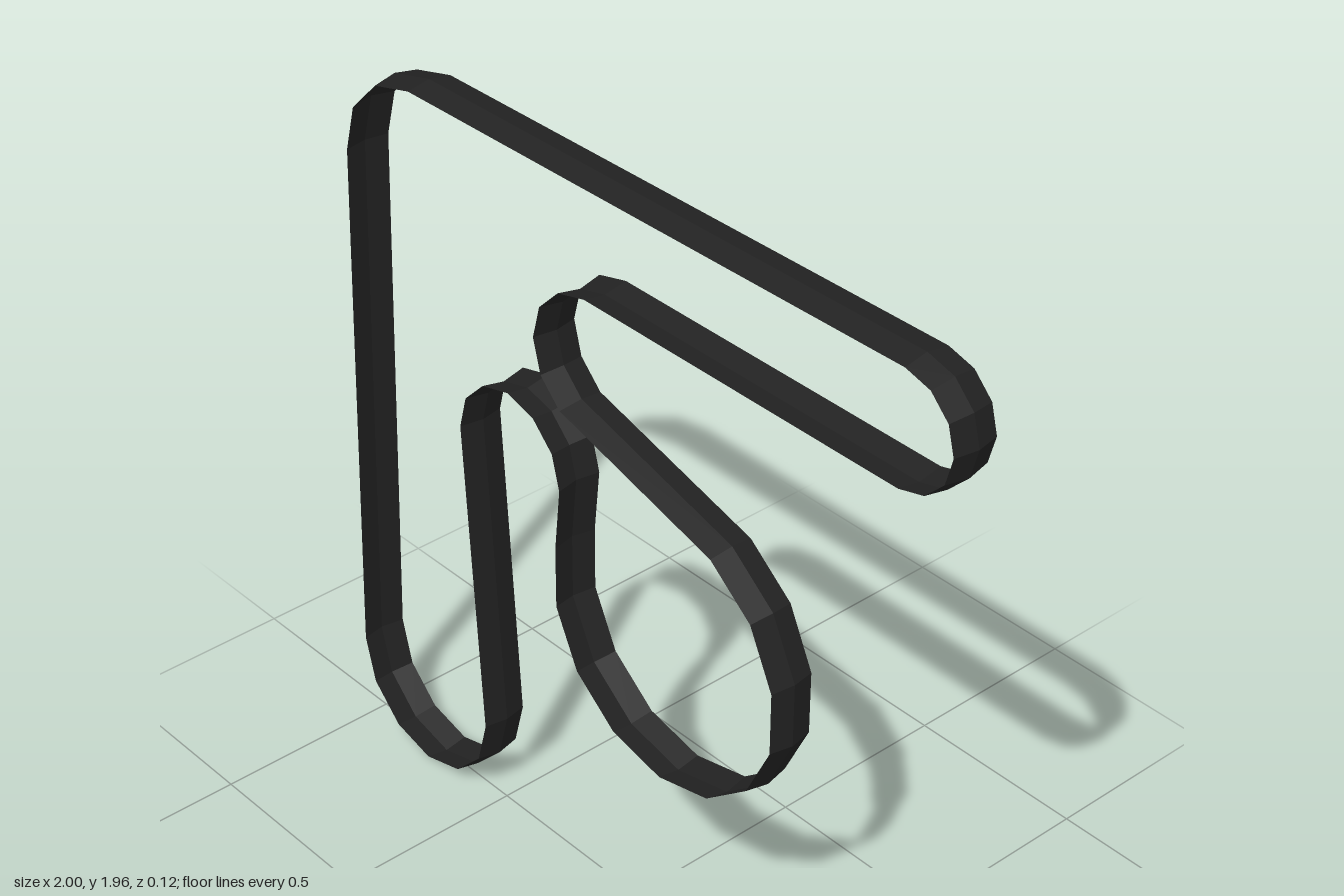
import * as THREE from 'three';

// Pulley wraps along the belt: centre x, centre y, radius, start and end angle (degrees), segments
const WRAPS = [
  [-0.745, 0.256, 0.25, 180, 360, 6],       // bottom pulley
  [-0.378, 1.12, 0.173, 180, 0, 6],         // lower idler, running on the outer face
  [0.146, 0.868, 0.378, 167.14, 424.29, 10], // large pulley
  [-0.105, 1.493, 0.17, 240, 90, 5],        // upper idler, running on the outer face
  [0.847, 1.808, 0.147, -90, 90, 6],        // right pulley
  [-0.7, 1.692, 0.25, 90, 180, 3],          // top left pulley
];

// Crowned cross-section: [z, outward offset]
const SECTION = [[0.06, -0.006], [0, 0.005], [-0.06, -0.006]];

function beltGeometry() {
  const positions = [];
  const index = [];
  for (const [cx, cy, r, start, end, steps] of WRAPS) {
    const side = Math.sign(end - start); // outward is towards the centre on idlers
    for (let i = 0; i <= steps; i++) {
      const a = THREE.MathUtils.degToRad(start + ((end - start) * i) / steps);
      for (const [z, out] of SECTION) {
        const radius = r + side * out;
        positions.push(cx + radius * Math.cos(a), cy + radius * Math.sin(a), z);
      }
    }
  }
  // Join neighbouring cross-sections, closing the loop
  const n = SECTION.length;
  const rings = positions.length / 3 / n;
  for (let i = 0; i < rings; i++) {
    const p = i * n;
    const q = ((i + 1) % rings) * n;
    for (let j = 0; j < n - 1; j++) {
      index.push(p + j, p + j + 1, q + j, q + j, p + j + 1, q + j + 1);
    }
  }
  const geometry = new THREE.BufferGeometry();
  geometry.setAttribute('position', new THREE.Float32BufferAttribute(positions, 3));
  geometry.setIndex(index);
  geometry.computeVertexNormals();
  return geometry;
}

export function createModel() {
  const group = new THREE.Group();
  group.name = 'driveBelt';
  const rubber = new THREE.MeshStandardMaterial({
    color: 0x222222, flatShading: true, side: THREE.DoubleSide,
  });
  const belt = new THREE.Mesh(beltGeometry(), rubber);
  belt.name = 'belt';
  group.add(belt);
  return group;
}
